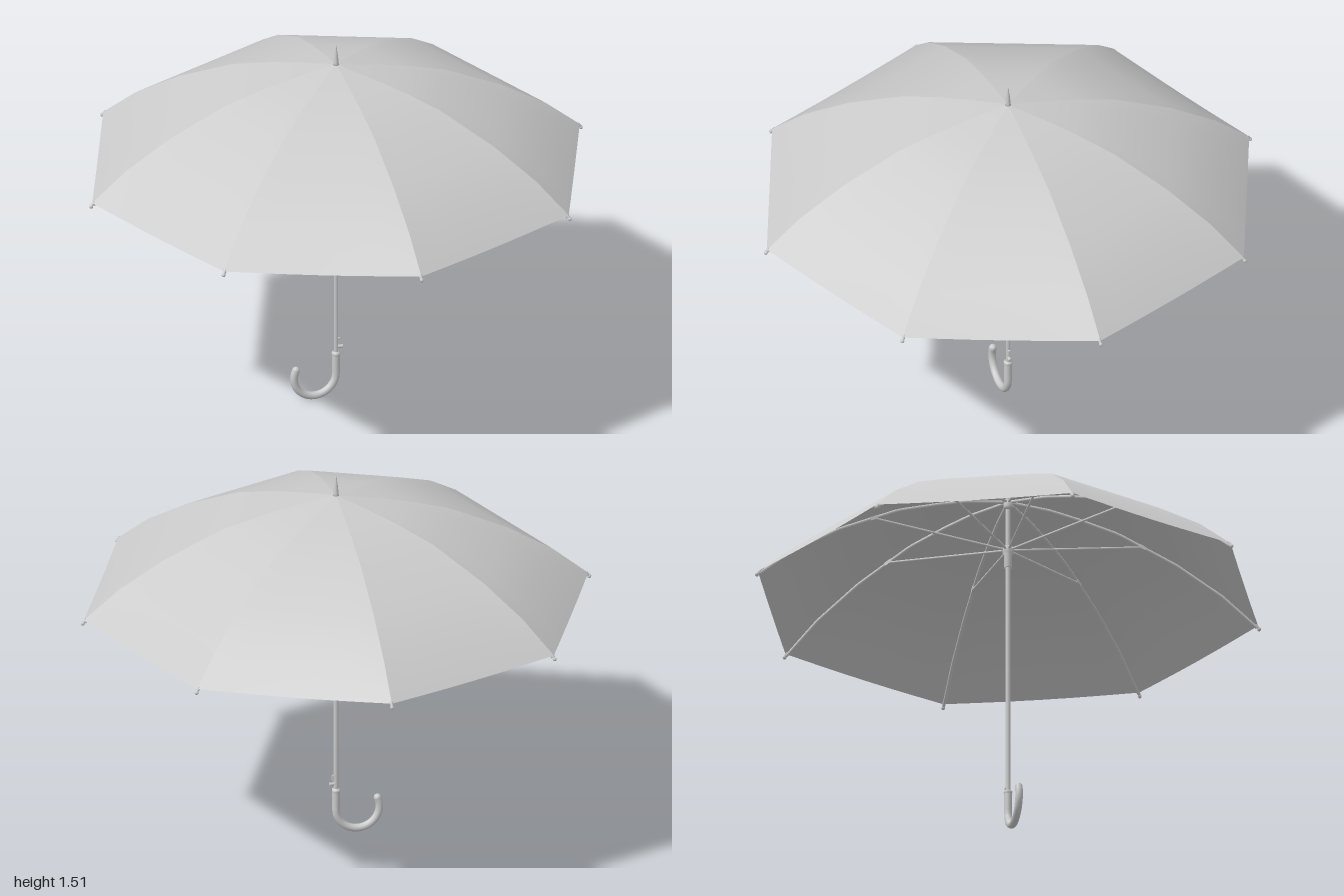
import * as THREE from 'three';

const RIBS = 8;
// Canopy profile along a rib: radius, height
const PROFILE = [[0.006, 1.428], [0.17, 1.398], [0.28, 1.374], [0.44, 1.33], [0.67, 1.225], [0.85, 1.115], [0.988, 1.0]];
const grey = new THREE.MeshStandardMaterial({ color: 0xcccccc });
const cloth = new THREE.MeshStandardMaterial({ color: 0xcccccc, side: THREE.DoubleSide });
const V = (x, y, z = 0) => new THREE.Vector3(x, y, z);

function add(parent, name, geometry, material = grey) {
  const mesh = new THREE.Mesh(geometry, material);
  mesh.name = name;
  parent.add(mesh);
  return mesh;
}

// Straight rod between two points
function rod(parent, name, a, b, r0, r1 = r0) {
  const mesh = add(parent, name, new THREE.CylinderGeometry(r1, r0, a.distanceTo(b), 8));
  mesh.position.copy(a).add(b).multiplyScalar(0.5);
  mesh.quaternion.setFromUnitVectors(V(0, 1, 0), b.clone().sub(a).normalize());
  return mesh;
}

// Turned part around the shaft
function lathe(parent, name, points) {
  return add(parent, name, new THREE.LatheGeometry(points.map(p => new THREE.Vector2(...p)), 16));
}

// One cloth panel stretched between two neighbouring ribs
function panelGeometry() {
  const across = 6, pos = [], index = [], step = (2 * Math.PI) / RIBS;
  PROFILE.forEach(([r, y], i) => {
    for (let j = 0; j <= across; j++) {
      const t = j / across;
      const sag = i === PROFILE.length - 1 ? 0.006 * Math.sin(Math.PI * t) : 0;
      const x = r * (1 - t + t * Math.cos(step));
      pos.push(x, y - sag, -r * t * Math.sin(step));
      if (i && j) {
        const d = i * (across + 1) + j, c = d - 1, b = d - across - 1, a = b - 1;
        index.push(a, c, d, a, d, b);
      }
    }
  });
  const g = new THREE.BufferGeometry();
  g.setAttribute('position', new THREE.Float32BufferAttribute(pos, 3));
  g.setIndex(index);
  g.computeVertexNormals();
  return g;
}

// Rib following the underside of the cloth
function ribGeometry() {
  const path = new THREE.CurvePath();
  const pts = PROFILE.map(([r, y], i) => i ? V(r - 0.004, y - 0.009) : V(0.012, 1.405));
  for (let i = 1; i < pts.length; i++) path.add(new THREE.LineCurve3(pts[i - 1], pts[i]));
  return new THREE.TubeGeometry(path, 36, 0.006, 6);
}

export function createModel() {
  const model = new THREE.Group();
  model.name = 'umbrella';

  // Canopy and folding frame, repeated around the shaft
  const panel = panelGeometry(), rib = ribGeometry();
  for (let i = 0; i < RIBS; i++) {
    const sector = new THREE.Group();
    sector.name = 'canopySector';
    sector.rotation.y = (i * 2 * Math.PI) / RIBS;
    add(sector, 'clothPanel', panel, cloth);
    add(sector, 'rib', rib);
    rod(sector, 'stretcher', V(0.015, 1.205), V(0.53, 1.277), 0.005);
    const joint = add(sector, 'stretcherJoint', new THREE.BoxGeometry(0.03, 0.014, 0.012));
    joint.position.set(0.53, 1.277, 0);
    joint.rotation.z = -0.42;
    rod(sector, 'ribTip', V(0.978, 1.004), V(0.994, 0.984), 0.006);
    const bead = add(sector, 'tipBead', new THREE.SphereGeometry(0.008, 8, 6));
    bead.position.set(0.992, 0.986, 0);
    model.add(sector);
  }

  // Shaft, top notch, sliding runner and ferrule
  rod(model, 'shaft', V(0, 0.15), V(0, 1.43), 0.009);
  lathe(model, 'topNotch', [[0, 1.375], [0.015, 1.375], [0.018, 1.385], [0.018, 1.41], [0, 1.418]]);
  lathe(model, 'runner', [[0.009, 1.13], [0.016, 1.13], [0.016, 1.185], [0.022, 1.19], [0.022, 1.215], [0.015, 1.22], [0.009, 1.22]]);
  lathe(model, 'ferrule', [[0, 1.42], [0.012, 1.422], [0.01, 1.435], [0.008, 1.462], [0.004, 1.49], [0.002, 1.508], [0, 1.51]]);

  // Catch on the shaft above the handle
  const catchBar = add(model, 'catch', new THREE.BoxGeometry(0.014, 0.022, 0.008));
  catchBar.position.set(0.009, 0.235, 0);
  rod(model, 'releaseButton', V(0.004, 0.21), V(0.026, 0.208), 0.006, 0.008);

  // Crook handle
  const cx = -0.085, cy = 0.1, R = 0.085, end = -Math.PI - 0.42;
  const hook = new THREE.CurvePath();
  hook.add(new THREE.LineCurve3(V(0, 0.185), V(0, cy)));
  const arc = [];
  for (let i = 0; i <= 16; i++) {
    const a = (end * i) / 16;
    arc.push(V(cx + R * Math.cos(a), cy + R * Math.sin(a)));
  }
  hook.add(new THREE.CatmullRomCurve3(arc));
  add(model, 'handle', new THREE.TubeGeometry(hook, 48, 0.015, 12));
  add(model, 'handleEnd', new THREE.SphereGeometry(0.015, 12, 8)).position.copy(arc[16]);
  lathe(model, 'handleCollar', [[0.015, 0.175], [0.0165, 0.178], [0.0165, 0.186], [0.009, 0.19]]);
  return model;
}
